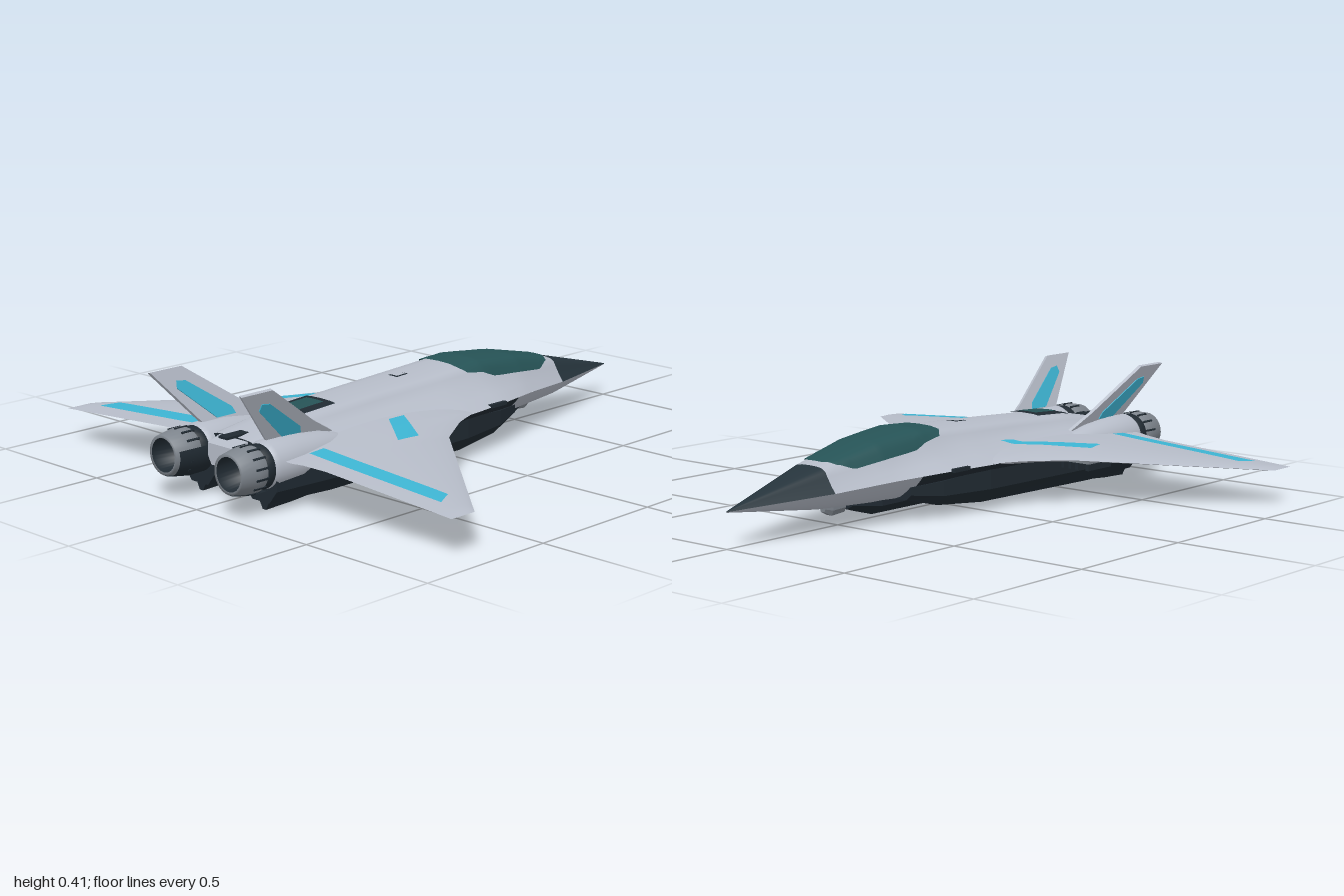
import * as THREE from 'three';

const mat = (name, color, side = THREE.FrontSide) => {
  const m = new THREE.MeshStandardMaterial({ color, side });
  m.name = name;
  return m;
};

// Linear lookup of every column of a table sorted by its first column
function lookup(table, x) {
  let i = 0;
  while (i < table.length - 2 && x > table[i + 1][0]) i++;
  const a = table[i], b = table[i + 1];
  const t = Math.min(1, Math.max(0, (x - a[0]) / (b[0] - a[0])));
  return a.map((v, k) => v + (b[k] - v) * t);
}

// Fuselage stations: x, chine half width, chine y, spine half width, shoulder y, top y, bottom y
const STATIONS = [
  [-0.84, 0.225, 0.155, 0.11, 0.19, 0.208, 0.07],
  [-0.6, 0.255, 0.165, 0.12, 0.205, 0.248, 0.06],
  [-0.3, 0.26, 0.165, 0.12, 0.215, 0.265, 0.06],
  [0, 0.255, 0.165, 0.13, 0.225, 0.277, 0.06],
  [0.2, 0.225, 0.163, 0.13, 0.225, 0.289, 0.062],
  [0.4, 0.168, 0.152, 0.115, 0.215, 0.268, 0.065],
  [0.63, 0.115, 0.138, 0.08, 0.188, 0.218, 0.075],
  [1, 0.002, 0.12, 0.001, 0.121, 0.122, 0.118],
];
const ARCH = [[0, 0], [0.4, 0.03], [0.7, 0.15], [0.88, 0.45], [1, 1]];

// Half of the upper and lower cross-sections as [z, y], centre outwards
function upperSection(x) {
  const [, w, yE, cw, yS, yT] = lookup(STATIONS, x);
  const pts = ARCH.map(([a, b]) => [cw * a, yT - (yT - yS) * b]);
  pts.push([(cw + w) / 2, yS + (yE - yS) * 0.55], [w, yE]);
  return pts;
}
function lowerSection(x) {
  const [, w, yE, , , , yB] = lookup(STATIONS, x);
  return [[0, 0], [0.25, 0.02], [0.45, 0.1], [0.6, 0.22], [0.75, 0.45], [0.9, 0.75], [1, 1]]
    .map(([a, b]) => [w * a, yB + (yE - yB) * b]);
}
const across = (pts, v) => {
  const k = Math.round(v * 12) - 6, p = pts[Math.abs(k)];
  return [Math.sign(k) * p[0], p[1]];
};

// Wing plan by span: z, leading edge x, trailing edge x, mid y, half thickness
const WING = [
  [0.1, 0.1, -0.84, 0.178, 0.026],
  [0.255, 0, -0.83, 0.168, 0.024],
  [0.29, -0.1, -0.815, 0.166, 0.022],
  [0.38, -0.25, -0.8, 0.16, 0.018],
  [0.88, -0.679, -0.8, 0.127, 0.006],
  [0.905, -0.7, -0.8, 0.125, 0],
];
function wingY(x, z, side) {
  const [, le, te, y, t] = lookup(WING, z);
  const u = (le - x) / (le - te);
  if (u < 0 || u > 1) return -Infinity;
  return y + side * t * Math.sin(Math.PI * Math.pow(u, 0.75));
}
// Height of the upper skin at any point, used to lay on painted panels
function topY(x, z) {
  z = Math.abs(z);
  const pts = upperSection(x);
  const body = z <= pts[6][0] ? lookup(pts, z)[1] : -Infinity;
  return Math.max(body, z >= 0.1 ? wingY(x, z, 1) : -Infinity);
}

// Grid surface through fn(u, v) -> [x, y, z]
function surface(fn, nu, nv, flip = false) {
  const pos = [], idx = [];
  for (let i = 0; i <= nu; i++) for (let j = 0; j <= nv; j++) pos.push(...fn(i / nu, j / nv));
  for (let i = 0; i < nu; i++) for (let j = 0; j < nv; j++) {
    const a = i * (nv + 1) + j, b = a + 1, c = a + nv + 1, d = c + 1;
    if (flip) idx.push(a, c, b, b, c, d);
    else idx.push(a, b, c, b, d, c);
  }
  const g = new THREE.BufferGeometry();
  g.setAttribute('position', new THREE.Float32BufferAttribute(pos, 3));
  g.setIndex(idx);
  g.computeVertexNormals();
  return g;
}
// Faceted trunk; stations: x, z centre, top half width, bottom half width, top y, bottom y
function trunk(stations) {
  const ring = ([x, z, a, b, t, y]) => [
    [x, y, z - b], [x, y, z + b], [x, y + (t - y) * 0.4, z + a], [x, t, z + a],
    [x, t, z - a], [x, y + (t - y) * 0.4, z - a], [x, y, z - b]];
  const first = stations[0], last = stations[stations.length - 1];
  const point = (s) => [s[0], s[1], 0, 0, (s[4] + s[5]) / 2, (s[4] + s[5]) / 2];
  const rings = [point(first), ...stations, point(last)].map(ring);
  const n = rings.length - 1;
  const g = surface((u, v) => rings[Math.round(u * n)][Math.round(v * 6)], n, 6, true).toNonIndexed();
  g.computeVertexNormals();
  return g;
}

export function createModel() {
  const root = new THREE.Group();
  const hull = mat('hull grey', 0xb6bcc8);
  const dark = mat('belly charcoal', 0x202a32, THREE.DoubleSide);
  const nose = mat('nose slate', 0x26343c);
  const glass = mat('canopy teal', 0x265356, THREE.DoubleSide);
  const cyan = mat('marking cyan', 0x3db4d2, THREE.DoubleSide);
  const metal = mat('nozzle metal', 0x7d848c);

  const add = (name, geo, m, parent = root) => {
    const mesh = new THREE.Mesh(geo, m);
    mesh.name = name;
    parent.add(mesh);
    return mesh;
  };
  const box = (name, m, parent, sx, sy, sz, x, y, z) =>
    add(name, new THREE.BoxGeometry(sx, sy, sz).translate(x, y, z), m, parent);
  const skin = (name, section, x0, x1, m, flip) => add(name, surface((u, v) => {
    const x = x0 + (x1 - x0) * u, [z, y] = across(section(x), v);
    return [x, y, z];
  }, 32, 12, flip), m);
  // Thin panel following the upper skin; edges(s) -> [x0, z0, x1, z1]
  const panel = (name, m, edges, lift = 0.005, nu = 20, nv = 12) => add(name, surface((u, v) => {
    const [x0, z0, x1, z1] = edges(u), x = x0 + (x1 - x0) * v, z = z0 + (z1 - z0) * v;
    return [x, topY(x, z) + lift, z];
  }, nu, nv), m);
  const patch = (name, m, x0, x1, hw, lift) =>
    panel(name, m, (s) => [x0 + (x1 - x0) * s, -hw, x0 + (x1 - x0) * s, hw], lift);

  // Fuselage
  skin('upperFuselage', upperSection, -0.84, 0.63, hull, false);
  skin('noseCone', upperSection, 0.63, 1, nose, false);
  skin('noseUnderside', lowerSection, 0.3, 1, hull, true);
  skin('lowerFuselage', lowerSection, -0.84, 0.3, dark, true);
  add('rearBulkhead', surface((u, v) => {
    const a = across(lowerSection(-0.84), v), b = across(upperSection(-0.84), v);
    return [-0.84, a[1] + (b[1] - a[1]) * u, a[0] + (b[0] - a[0]) * u];
  }, 1, 12), dark);
  add('tailBeam', trunk([[-0.9, 0, 0.055, 0.04, 0.19, 0.12], [-0.8, 0, 0.075, 0.06, 0.212, 0.08]]), hull);

  // Canopy and dorsal details
  const CANOPY = [[0.1, 0.09], [0.125, 0.115], [0.25, 0.125], [0.4, 0.118], [0.52, 0.1], [0.58, 0.075], [0.605, 0.03]];
  panel('canopy', glass, (s) => {
    const x = 0.1 + 0.505 * s, w = lookup(CANOPY, x)[1];
    return [x, -w, x, w];
  }, 0.006, 40, 20);
  patch('dorsalVentFrame', dark, -0.64, -0.46, 0.07, 0.006);
  patch('dorsalVentGlass', glass, -0.615, -0.485, 0.04, 0.009);
  patch('hatchFrame', dark, -0.125, -0.07, 0.021, 0.004);
  patch('hatchCover', hull, -0.119, -0.076, 0.016, 0.006);
  box('tailSlot', dark, root, 0.14, 0.008, 0.04, -0.815, 0.212, 0);

  // Inner wing markings, one to each side
  panel('rightWingFlash', cyan, (s) => [-0.46 + 0.24 * s, -0.35 + 0.2 * s, -0.385 + 0.225 * s, -0.365 + 0.22 * s]);
  panel('leftWingFlash', cyan, (s) => [-0.455 + 0.12 * s, 0.35 - 0.16 * s, -0.365 + 0.1 * s, 0.355 - 0.165 * s].map((v) => v))
    .material = cyan;

  // Belly keel
  add('bellyKeel', trunk([
    [-0.82, 0, 0.1, 0.05, 0.14, 0.04], [-0.4, 0, 0.11, 0.05, 0.14, 0.04], [-0.36, 0, 0.11, 0.05, 0.14, 0.025],
    [0.38, 0, 0.09, 0.04, 0.11, 0.025], [0.48, 0, 0.05, 0.025, 0.09, 0.055]]), dark);
  add('chinSensor', trunk([[0.48, 0, 0.02, 0.012, 0.085, 0.045], [0.54, 0, 0.02, 0.012, 0.085, 0.04],
    [0.57, 0, 0.012, 0.008, 0.08, 0.055]]), metal);

  // Parts repeated on both sides
  for (const s of [1, -1]) {
    const half = new THREE.Group();
    half.name = s > 0 ? 'positiveZSide' : 'negativeZSide';
    half.scale.z = s;
    root.add(half);

    // Wing skins
    for (const side of [1, -1]) {
      add(side > 0 ? 'wingTop' : 'wingUnderside', surface((u, v) => {
        const z = 0.1 + 0.805 * u, [, le, te, y, t] = lookup(WING, z);
        return [le + (te - le) * v, y + side * t * Math.sin(Math.PI * Math.pow(v, 0.75)), z];
      }, 46, 20, side < 0), hull, half);
      // Long stripe near the trailing edge, cut at an angle at the tip
      add('wingStripe', surface((u, v) => {
        const z = 0.24 + 0.565 * u - 0.03 * u * v, x = -0.738 + 0.062 * v;
        const y = side > 0 ? topY(x, z) : wingY(x, z, -1);
        return [x, y + side * 0.004, z];
      }, 24, 4), cyan, half);
    }

    // Engine nacelle and nozzle, turned around the x axis
    const engine = new THREE.Group();
    engine.name = 'engine';
    engine.position.set(0, 0.148, 0.155);
    half.add(engine);
    const turned = (name, pts, m, ...arc) => add(name, new THREE.LatheGeometry(
      pts.map(([r, d]) => new THREE.Vector2(r, d)), 28, ...arc).rotateZ(Math.PI / 2), m, engine);
    turned('nacelle', [[0, 0.42], [0.035, 0.5], [0.065, 0.62], [0.08, 0.75], [0.08, 0.85], [0.07, 0.87]], hull);
    turned('nozzleCollar', [[0.06, 0.85], [0.073, 0.87], [0.073, 0.9], [0.06, 0.91]], dark);
    turned('nozzle', [[0.066, 0.885], [0.077, 0.91], [0.077, 0.94], [0.066, 1], [0.056, 1]], metal);
    turned('nozzleThroat', [[0.056, 1], [0.05, 0.9], [0, 0.9]], dark);
    turned('nozzleShroud', [[0.08, 0.85], [0.082, 0.92], [0.071, 0.99]], dark, Math.PI * 0.9, Math.PI * 0.75);
    for (let i = 0; i < 14; i++) {
      box('nozzleSlot', dark, engine, 0.05, 0.006, 0.007, -0.925, 0.076, 0).rotation.x = (i / 14) * Math.PI * 2;
    }

    // Canted tail fin with a stripe on both faces
    const fin = new THREE.Group();
    fin.name = 'tailFin';
    fin.position.set(0, 0.2, 0.143);
    fin.rotation.x = 0.34;
    half.add(fin);
    const plate = (name, pts, depth, m) => add(name, new THREE.ExtrudeGeometry(
      new THREE.Shape(pts.map(([x, y]) => new THREE.Vector2(x, y))),
      { depth, bevelEnabled: false }).translate(0, 0, -depth / 2), m, fin);
    plate('finBlade', [[-0.55, 0], [-0.82, 0], [-1, 0.218], [-0.87, 0.218], [-0.65, 0.06]], 0.012, hull);
    plate('finStripe', [[-0.7, 0.03], [-0.78, 0.03], [-0.91, 0.15], [-0.905, 0.175], [-0.87, 0.17], [-0.71, 0.055]], 0.018, cyan);

    // Intake trunk, keel skid and panels under the body
    add('intakeTrunk', trunk([
      [-0.86, 0.145, 0.075, 0.04, 0.14, 0.03], [-0.6, 0.15, 0.085, 0.045, 0.15, 0.022],
      [0, 0.15, 0.085, 0.045, 0.15, 0.03], [0.2, 0.13, 0.07, 0.04, 0.13, 0.045],
      [0.32, 0.11, 0.05, 0.03, 0.12, 0.075]]), dark, half);
    add('bellySkid', trunk([[-0.85, 0.15, 0.02, 0.008, 0.06, 0.002], [-0.74, 0.15, 0.02, 0.008, 0.06, 0.006],
      [-0.55, 0.15, 0.012, 0.006, 0.05, 0.02]]), dark, half);
    box('chineSensor', dark, half, 0.08, 0.012, 0.014, 0.15, 0.166, 0.231);

    // Stores under the wing root
    box('storesRail', metal, half, 0.16, 0.012, 0.15, -0.42, 0.14, 0.315);
    for (const z of [0.265, 0.295, 0.325, 0.37]) {
      box('storesPod', dark, half, 0.13, 0.03, 0.012, -0.42, 0.122, z);
    }
  }
  return root;
}
